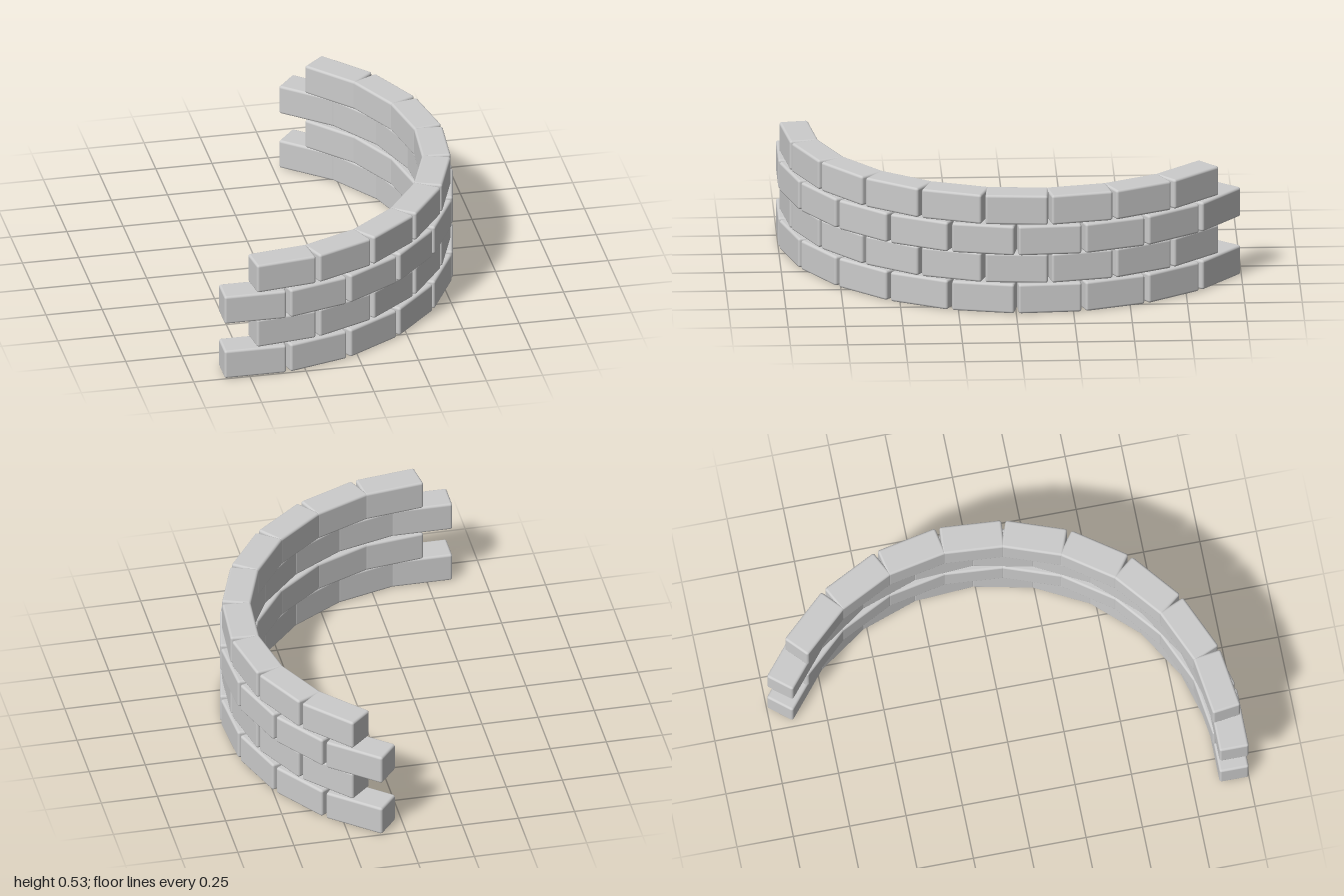
import * as THREE from 'three';
import { RoundedBoxGeometry } from 'three/addons/geometries/RoundedBoxGeometry.js';

const ROWS = 4;
const ROW_HEIGHT = 0.1333;
const STEP = THREE.MathUtils.degToRad(15.6); // angle taken up by one brick
const CENTER_X = -0.4745; // centre of the arc
const CENTER_Z = -0.08;

export function createModel() {
  const wall = new THREE.Group();
  wall.name = 'curvedBrickWall';
  const material = new THREE.MeshStandardMaterial({ color: 0xcccccc });

  // Courses alternate: ten bricks standing proud, then nine set back by half a brick
  const courses = [
    { count: 10, start: 0, inner: 0.95, outer: 1.08, length: 0.275 },
    { count: 9, start: STEP / 2, inner: 0.936, outer: 1.063, length: 0.272 },
  ];

  for (let row = 0; row < ROWS; row++) {
    const { count, start, inner, outer, length } = courses[row % 2];
    const course = new THREE.Group();
    course.name = `brickCourse${row + 1}`;

    // Bricks meet at the inner face and open into narrow joints outside
    const brickShape = new RoundedBoxGeometry(length, ROW_HEIGHT + 0.001, outer - inner, 3, 0.011);
    const radius = (inner + outer) / 2;
    for (let i = 0; i < count; i++) {
      const angle = start + i * STEP;
      const brick = new THREE.Mesh(brickShape, material);
      brick.name = `brick${i + 1}`;
      brick.position.set(
        CENTER_X + radius * Math.sin(angle),
        (row + 0.5) * ROW_HEIGHT,
        CENTER_Z + radius * Math.cos(angle)
      );
      brick.rotation.y = angle;
      course.add(brick);
    }
    wall.add(course);
  }
  return wall;
}
